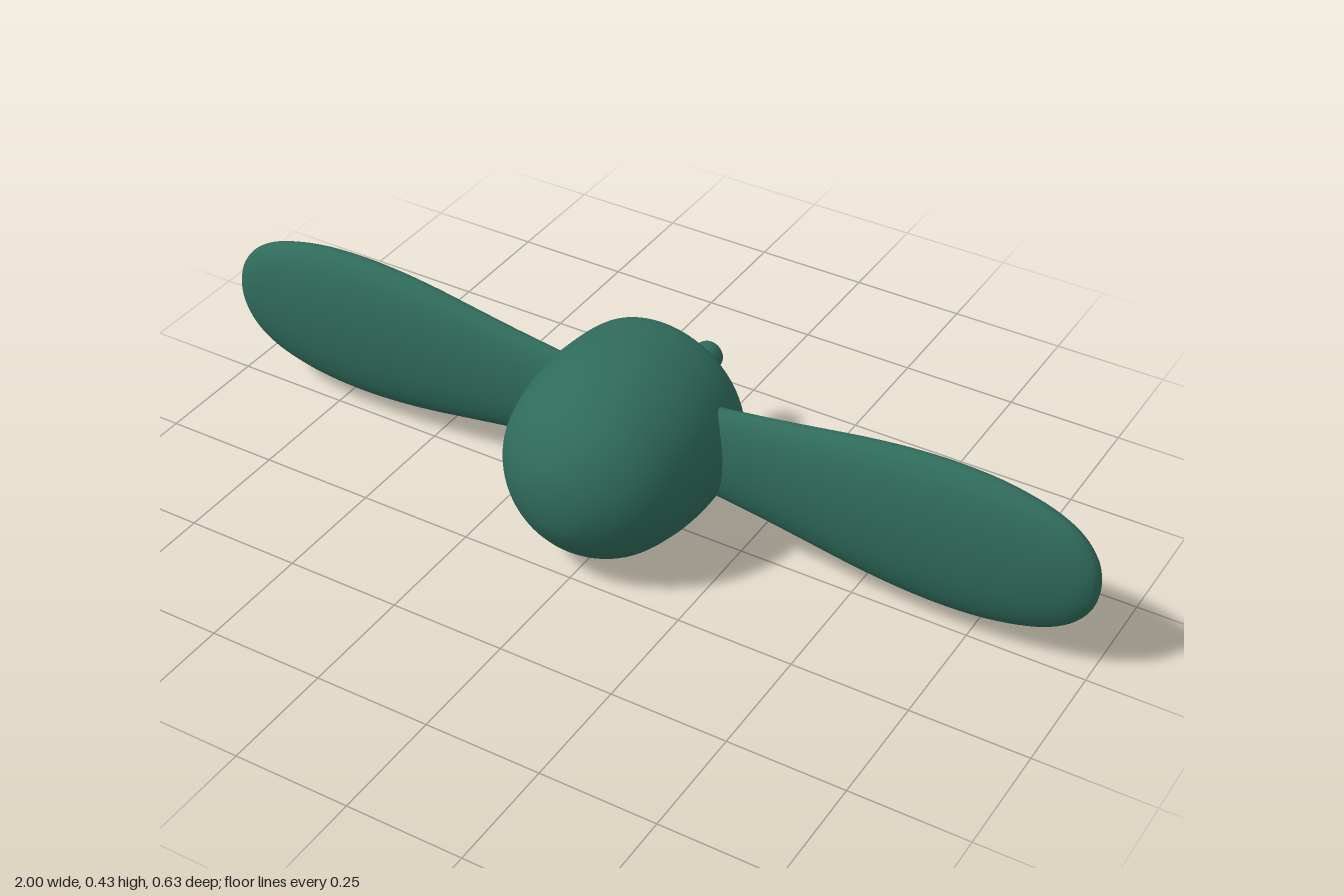
import * as THREE from 'three';

const AXIS_Y = 0.216; // height of the spin axis

// Smooth solid of revolution from [radius, distance along axis] points
function turned(points, steps, sides) {
  const curve = new THREE.CatmullRomCurve3(
    points.map(([r, d]) => new THREE.Vector3(r, d, 0)), false, 'centripetal');
  const profile = curve.getPoints(steps).map(p => new THREE.Vector2(Math.max(p.x, 0), p.y));
  return new THREE.LatheGeometry(profile, sides);
}

export function createModel() {
  const model = new THREE.Group();
  model.name = 'propeller';
  const material = new THREE.MeshStandardMaterial({ color: 0x2f6b5b });

  const add = (name, geometry) => {
    const mesh = new THREE.Mesh(geometry, material);
    mesh.name = name;
    mesh.position.y = AXIS_Y;
    model.add(mesh);
    return mesh;
  };

  // Domed hub with a flat, round-edged back
  const hub = turned([
    [0, -0.117], [0.08, -0.117], [0.155, -0.117], [0.182, -0.113], [0.197, -0.1],
    [0.205, -0.075], [0.211, -0.03], [0.2145, 0.03], [0.208, 0.11], [0.184, 0.2],
    [0.139, 0.26], [0.075, 0.3], [0.03, 0.311], [0, 0.313],
  ], 72, 64);
  add('hub', hub.rotateX(Math.PI / 2));

  // Shaft with a rounded rear end
  const shaft = turned([
    [0, -0.313], [0.012, -0.313], [0.022, -0.311], [0.03, -0.304], [0.033, -0.292],
    [0.033, -0.27], [0.033, -0.18], [0.033, -0.1],
  ], 42, 32);
  add('shaft', shaft.rotateX(Math.PI / 2));

  // Paddle blades: turned along x, then flattened front to back
  const blade = turned([
    [0, 0.1], [0.092, 0.101], [0.108, 0.2], [0.122, 0.3], [0.138, 0.4], [0.154, 0.5],
    [0.165, 0.6], [0.168, 0.7], [0.16, 0.8], [0.134, 0.9], [0.101, 0.955],
    [0.06, 0.987], [0.025, 0.998], [0, 1],
  ], 78, 48);
  blade.rotateZ(-Math.PI / 2).scale(1, 1, 0.347);
  for (const side of [1, -1]) {
    const mesh = add(side > 0 ? 'leftBlade' : 'rightBlade', blade);
    mesh.position.z = -0.016;
    if (side < 0) mesh.rotation.y = Math.PI;
  }

  return model;
}
